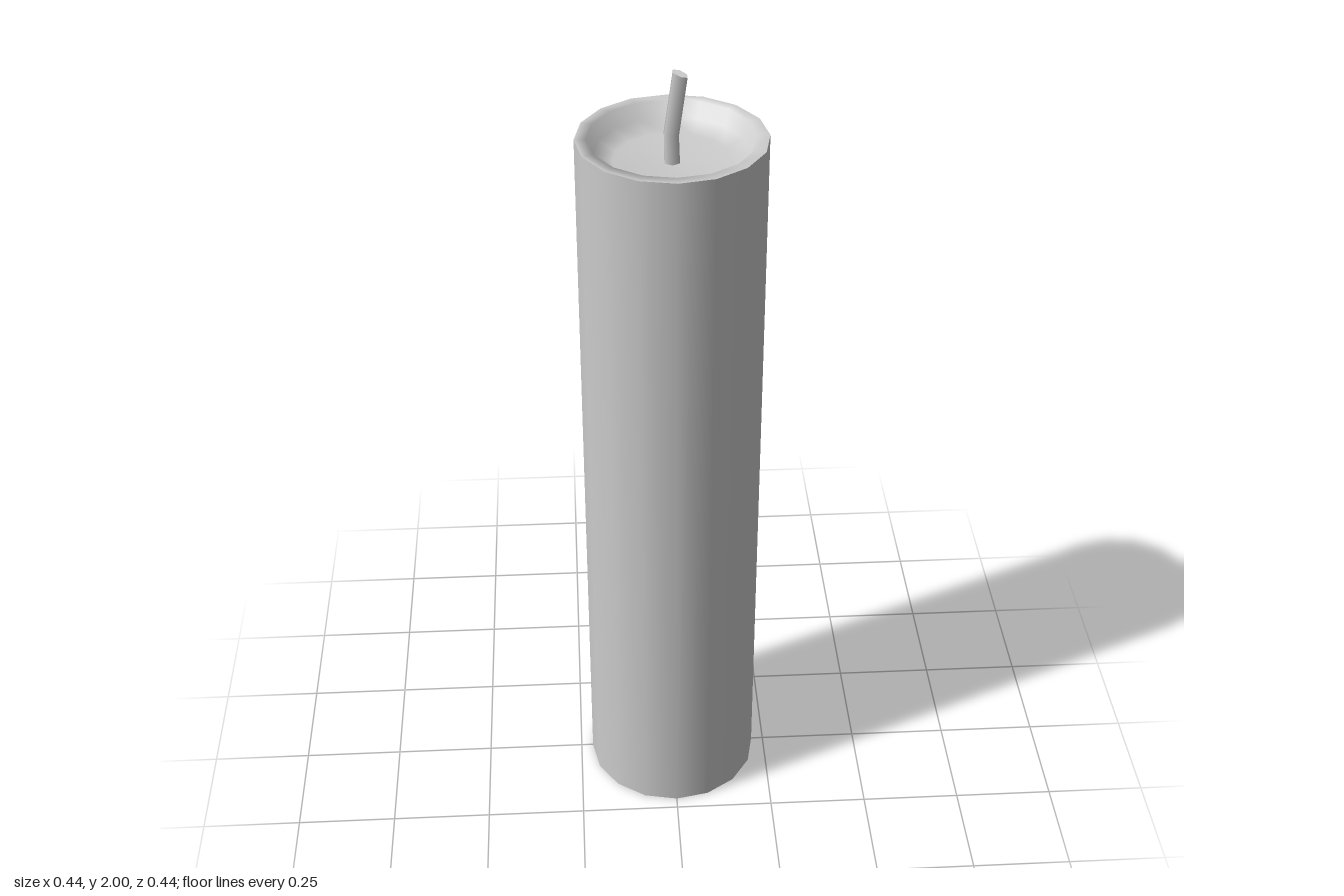
import * as THREE from 'three';

const SIDES = 16;
const RADIUS = 0.219;
const HEIGHT = 1.845;

export function createModel() {
  const model = new THREE.Group();
  model.name = 'candle';
  const material = new THREE.MeshStandardMaterial({ color: 0xcccccc });

  const add = (name, geometry) => {
    const mesh = new THREE.Mesh(geometry, material);
    mesh.name = name;
    model.add(mesh);
  };
  const lathe = (points) =>
    new THREE.LatheGeometry(points.map(([r, y]) => new THREE.Vector2(r, y)), SIDES);

  // Wax column: separate surfaces keep the outer edges crisp
  add('waxSide', lathe([[RADIUS, 0], [RADIUS, HEIGHT]]));
  add('waxBase', lathe([[0, 0], [RADIUS, 0]]));

  // Rim running smoothly into the melted hollow
  add('waxHollow', lathe([
    [RADIUS, HEIGHT], [0.192, HEIGHT], [0.178, 1.808], [0.135, 1.788], [0, 1.785],
  ]));

  // Six-sided wick: upright at the base, then leaning, with a slanted tip
  const rings = [
    { x: 0, y: 1.775, z: 0, r: 0.02, slant: 0 },
    { x: -0.002, y: 1.855, z: 0, r: 0.019, slant: 0.1 },
    { x: 0.018, y: 1.993, z: -0.009, r: 0.018, slant: 0.4 },
  ];
  const wick = new THREE.CylinderGeometry(1, 1, 2, 6, 2);
  const position = wick.attributes.position;
  for (let i = 0; i < position.count; i++) {
    const ring = rings[Math.round(position.getY(i)) + 1];
    const dx = position.getX(i) * ring.r;
    const dz = position.getZ(i) * ring.r;
    position.setXYZ(i, ring.x + dx, ring.y - dx * ring.slant, ring.z + dz);
  }
  add('wick', wick);

  return model;
}
